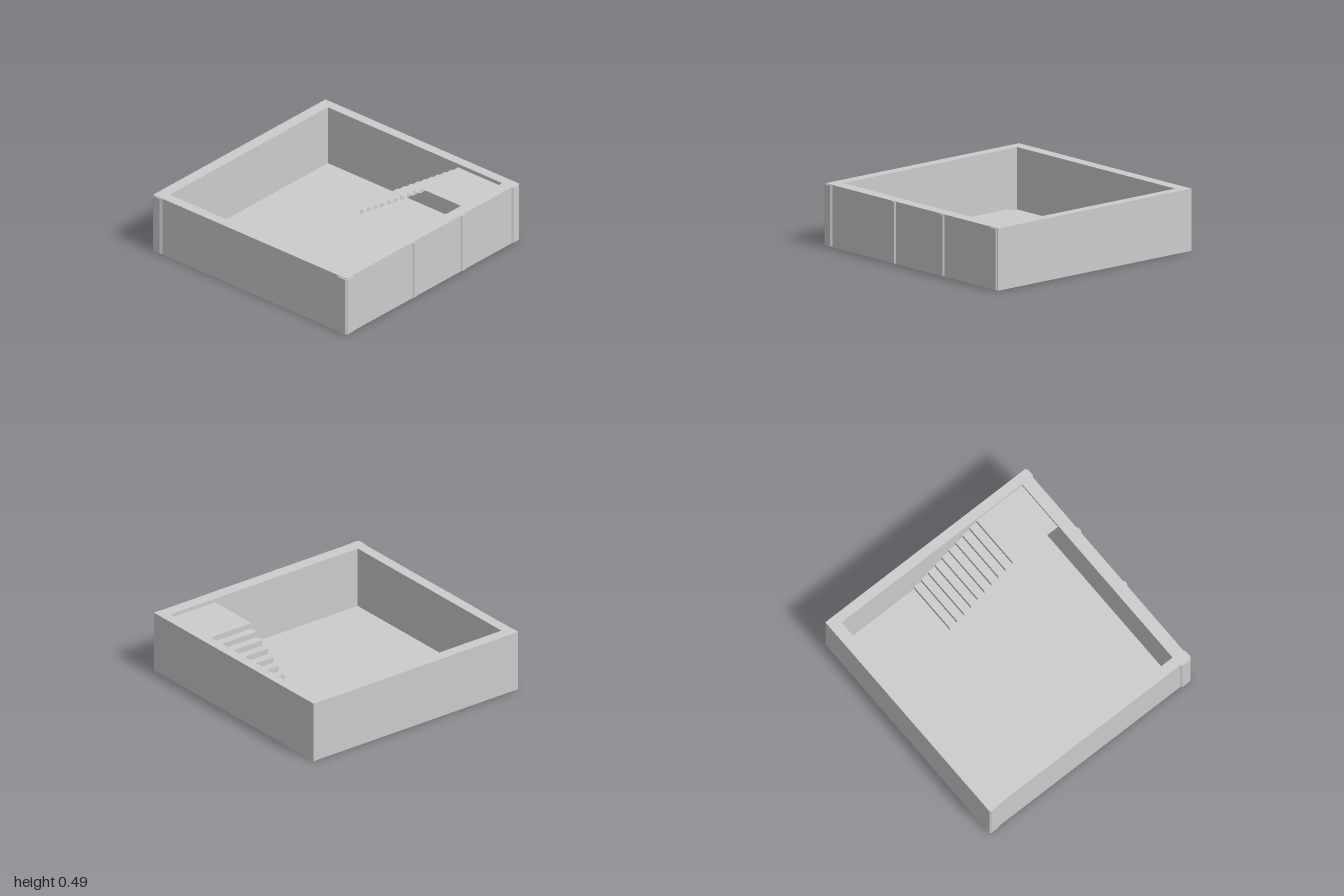
import * as THREE from 'three';

const H = 0.49;
const outer = { x0: -0.995, x1: 0.98, z0: -1, z1: 0.985 };
const inner = { x0: -0.9, x1: 0.88, z0: -0.92, z1: 0.9 };

export function createModel() {
  const model = new THREE.Group();
  const mat = new THREE.MeshStandardMaterial({ color: 0xcccccc, side: THREE.DoubleSide, flatShading: true });

  const add = (name, geometry) => {
    const mesh = new THREE.Mesh(geometry, mat);
    mesh.name = name;
    model.add(mesh);
    return mesh;
  };

  // upright sheet facing +z (or -z), or +x (or -x), from its centre and size
  const panel = (name, w, h, x, y, z, rx = 0, ry = 0) => {
    const mesh = add(name, new THREE.PlaneGeometry(w, h));
    mesh.position.set(x, y, z);
    mesh.rotation.set(rx, ry, 0);
  };

  // four upright walls around a rectangle; dir = 1 faces out, -1 faces in
  const wallRing = (name, r, dir) => {
    const w = r.x1 - r.x0, d = r.z1 - r.z0;
    const cx = (r.x0 + r.x1) / 2, cz = (r.z0 + r.z1) / 2;
    const turn = dir > 0 ? 0 : Math.PI;
    panel(name + 'Front', w, H, cx, H / 2, r.z1, 0, turn);
    panel(name + 'Back', w, H, cx, H / 2, r.z0, 0, Math.PI + turn);
    panel(name + 'PlusX', d, H, r.x1, H / 2, cz, 0, Math.PI / 2 + turn);
    panel(name + 'MinusX', d, H, r.x0, H / 2, cz, 0, -Math.PI / 2 + turn);
  };

  // level sheet facing up
  const deck = (name, x0, x1, z0, z1, y) =>
    panel(name, x1 - x0, z1 - z0, (x0 + x1) / 2, y, (z0 + z1) / 2, -Math.PI / 2);

  // hollow walls, open underneath
  wallRing('outerWall', outer, 1);
  wallRing('innerWall', inner, -1);
  deck('floor', inner.x0, inner.x1, inner.z0, inner.z1, 0);

  // flat rim joining outer and inner walls
  const loop = (r) => [[r.x0, -r.z0], [r.x1, -r.z0], [r.x1, -r.z1], [r.x0, -r.z1]]
    .map(([x, y]) => new THREE.Vector2(x, y));
  const rimShape = new THREE.Shape(loop(outer));
  rimShape.holes.push(new THREE.Path(loop(inner)));
  const rim = add('rim', new THREE.ShapeGeometry(rimShape));
  rim.rotation.x = -Math.PI / 2;
  rim.position.y = H;

  // landing and open staircase of thin treads and risers
  const sx0 = -0.185, sx1 = 0.43, sz0 = inner.z0, sz1 = -0.485;
  const steps = 9, run = (sx1 - sx0) / steps, rise = 0.46 / (steps + 1);
  deck('landing', sx1, inner.x1, sz0, sz1, 0.46);
  for (let i = 0; i <= steps; i++) {
    const x = sx0 + i * run;
    panel('riser', sz1 - sz0, rise, x, (i + 0.5) * rise, (sz0 + sz1) / 2, 0, -Math.PI / 2);
    if (i < steps) deck('tread', x, x + run, sz0, sz1, (i + 1) * rise);
  }

  // shallow bevelled posts, drawn in plan as [x, z] and raised
  const post = (name, plan) => {
    const shape = new THREE.Shape(plan.map(([x, z]) => new THREE.Vector2(x, -z)));
    const mesh = add(name, new THREE.ExtrudeGeometry(shape, { depth: H - 0.01, bevelEnabled: false }));
    mesh.rotation.x = -Math.PI / 2;
    mesh.position.y = 0.005;
  };
  const sidePost = (name, z0, z1) =>
    post(name, [[0.97, z0], [0.98, z0], [0.992, z0 + 0.01], [0.992, z1 - 0.01], [0.98, z1], [0.97, z1]]);
  sidePost('sidePostRear', -0.995, -0.915);
  sidePost('sidePostMiddleRear', -0.385, -0.33);
  sidePost('sidePostMiddleFront', 0.175, 0.225);
  post('frontPostCorner', [[0.885, 0.975], [0.885, 0.985], [0.9, 0.998], [0.975, 0.998],
    [0.992, 0.982], [0.992, 0.92], [0.98, 0.905], [0.97, 0.905], [0.97, 0.975]]);
  post('frontPostEdge', [[-0.995, 0.975], [-0.995, 0.985], [-0.98, 0.994], [-0.92, 0.994], [-0.9, 0.985], [-0.9, 0.975]]);

  return model;
}
